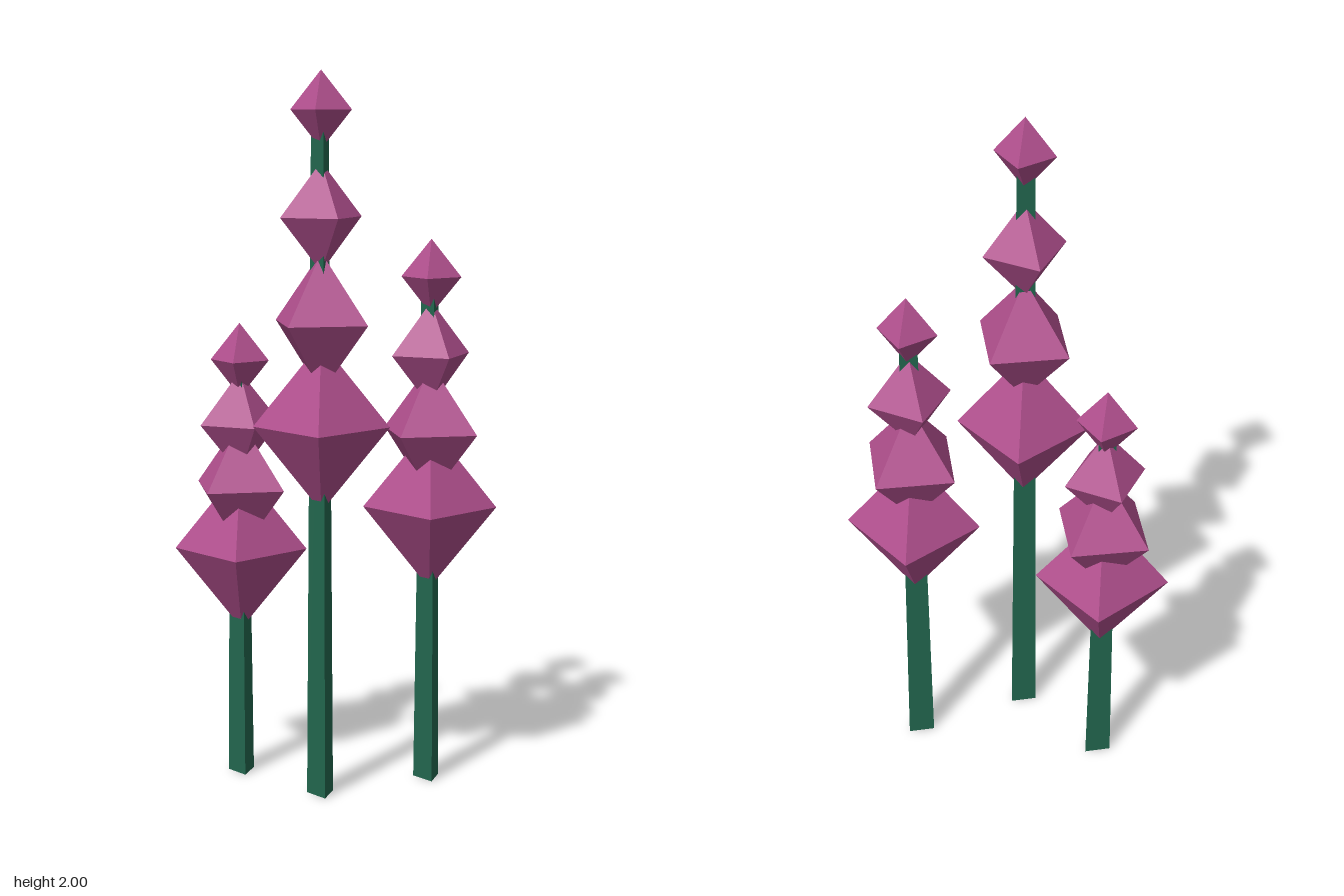
import * as THREE from 'three';

const petal = new THREE.MeshStandardMaterial({ color: 0xb04f8d, flatShading: true });
petal.name = 'magenta petal';
const green = new THREE.MeshStandardMaterial({ color: 0x22664e, flatShading: true });
green.name = 'dark green stem';

// One stalk: a tapered three-sided stem threaded with four shrinking, twisting blooms
function makeStalk(name, x, z, firstY, topY) {
  const stalk = new THREE.Group();
  stalk.name = name;
  stalk.position.set(x, 0, z);

  const stem = new THREE.Mesh(new THREE.CylinderGeometry(0.028, 0.043, topY, 3), green);
  stem.name = 'stem';
  stem.position.y = topY / 2;
  stem.rotation.y = 0.26;
  stalk.add(stem);

  for (let i = 0; i < 4; i++) {
    const bloom = new THREE.Mesh(new THREE.OctahedronGeometry(0.187 - 0.0345 * i), petal);
    bloom.name = 'bloom' + (i + 1);
    bloom.position.y = firstY + (topY - firstY) * i / 3;
    bloom.scale.y = 1.25;
    bloom.rotation.y = i; // one radian of twist per tier
    stalk.add(bloom);
  }
  return stalk;
}

export function createModel() {
  const model = new THREE.Group();
  model.name = 'flowerStalks';
  model.add(
    makeStalk('tallStalk', -0.03, 0.098, 1.04, 1.895),
    makeStalk('middleStalk', 0.268, -0.06, 0.79, 1.438),
    makeStalk('shortStalk', -0.268, -0.101, 0.658, 1.199)
  );
  return model;
}
